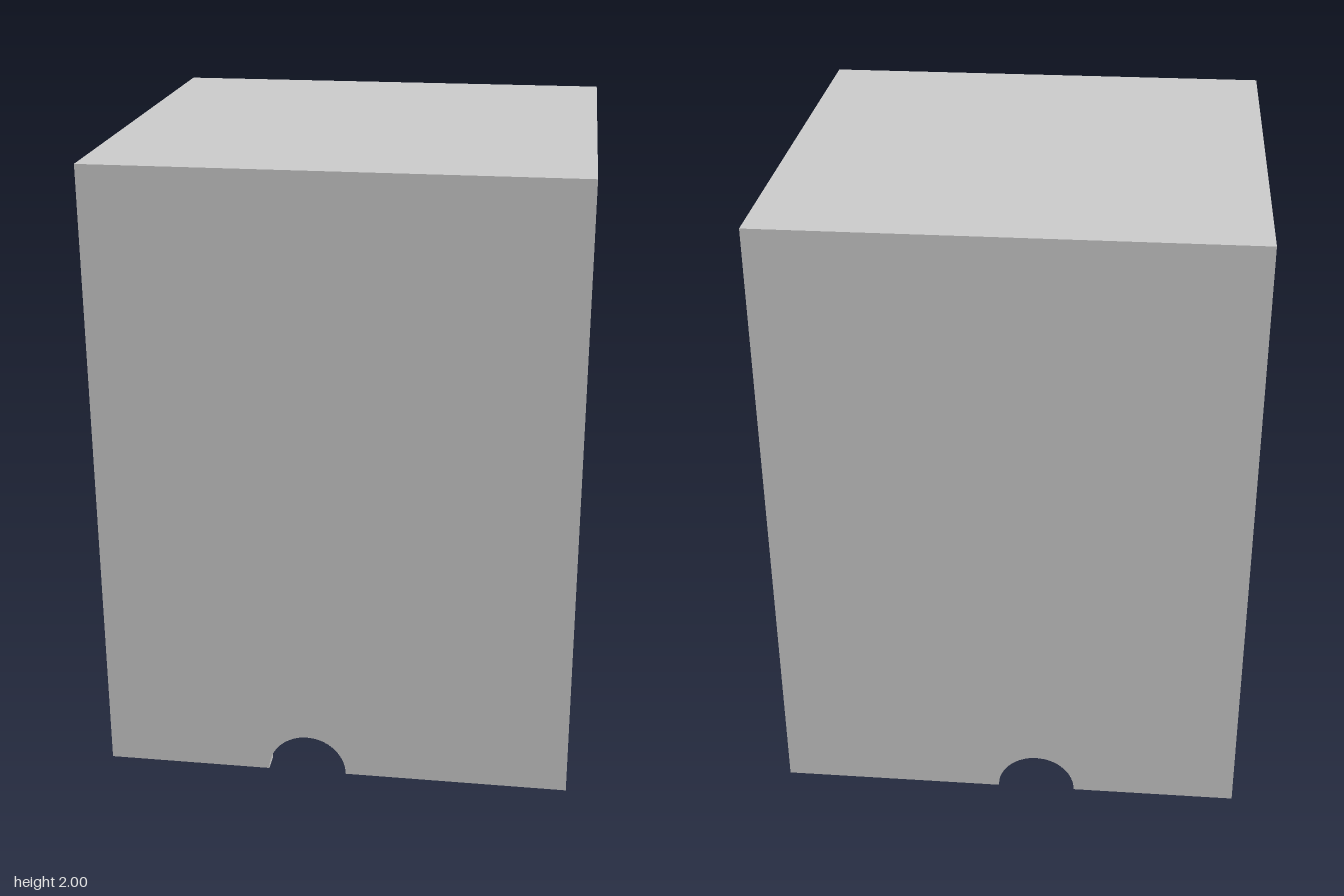
import * as THREE from 'three';

const H = 2, OUT = 0.75, INN = 0.69, DEPTH = 0.5; // height, outer and inner half widths, recess depth
const NX = -0.093, NR = 0.127;                    // notch centre and radius

export function createModel() {
  const group = new THREE.Group();
  const material = new THREE.MeshStandardMaterial({ color: 0xcccccc });
  const doubleSided = new THREE.MeshStandardMaterial({ color: 0xcccccc, side: THREE.DoubleSide });

  const add = (name, geometry, mat = material) => {
    const mesh = new THREE.Mesh(geometry, mat);
    mesh.name = name;
    group.add(mesh);
  };

  // Upright face pushed out by dist, then turned about y; notchX cuts a half-round notch in its foot
  const wall = (name, half, height, dist, turn, notchX = null) => {
    const s = new THREE.Shape();
    s.moveTo(-half, 0);
    if (notchX !== null) {
      s.lineTo(notchX - NR, 0);
      s.absarc(notchX, 0, NR, Math.PI, 0, true);
    }
    s.lineTo(half, 0).lineTo(half, height).lineTo(-half, height).closePath();
    add(name, new THREE.ShapeGeometry(s, 32).translate(0, 0, dist).rotateY(turn));
  };

  // Outer and recess walls; a negative distance makes the face look inward
  for (const [label, half, height, dist] of [['outer', OUT, H, OUT], ['recess', INN, DEPTH, -INN]]) {
    wall(label + 'FrontOrBackA', half, height, dist, 0, NX);
    wall(label + 'FrontOrBackB', half, height, dist, Math.PI, -NX);
    wall(label + 'SideA', half, height, dist, Math.PI / 2);
    wall(label + 'SideB', half, height, dist, -Math.PI / 2);
  }

  // Top of the block and ceiling of the recess
  add('top', new THREE.PlaneGeometry(2 * OUT, 2 * OUT).rotateX(-Math.PI / 2).translate(0, H, 0));
  add('recessCeiling', new THREE.PlaneGeometry(2 * INN, 2 * INN).rotateX(Math.PI / 2).translate(0, DEPTH, 0));

  // Bottom rim, split in two by the notches
  for (const side of [-1, 1]) {
    const n = NX + side * NR, o = side * OUT, i = side * INN;
    const rim = new THREE.Shape([
      [n, -OUT], [o, -OUT], [o, OUT], [n, OUT], [n, INN], [i, INN], [i, -INN], [n, -INN],
    ].map(([x, z]) => new THREE.Vector2(x, z)));
    add(side > 0 ? 'leftRim' : 'rightRim', new THREE.ShapeGeometry(rim).rotateX(Math.PI / 2));
  }

  // Curved undersides of the front and back notches
  for (const side of [-1, 1]) {
    const arch = new THREE.CylinderGeometry(NR, NR, OUT - INN, 32, 1, true, Math.PI / 2, Math.PI)
      .rotateX(Math.PI / 2)
      .translate(NX, 0, side * (OUT + INN) / 2);
    add(side > 0 ? 'frontNotch' : 'backNotch', arch, doubleSided);
  }

  return group;
}
